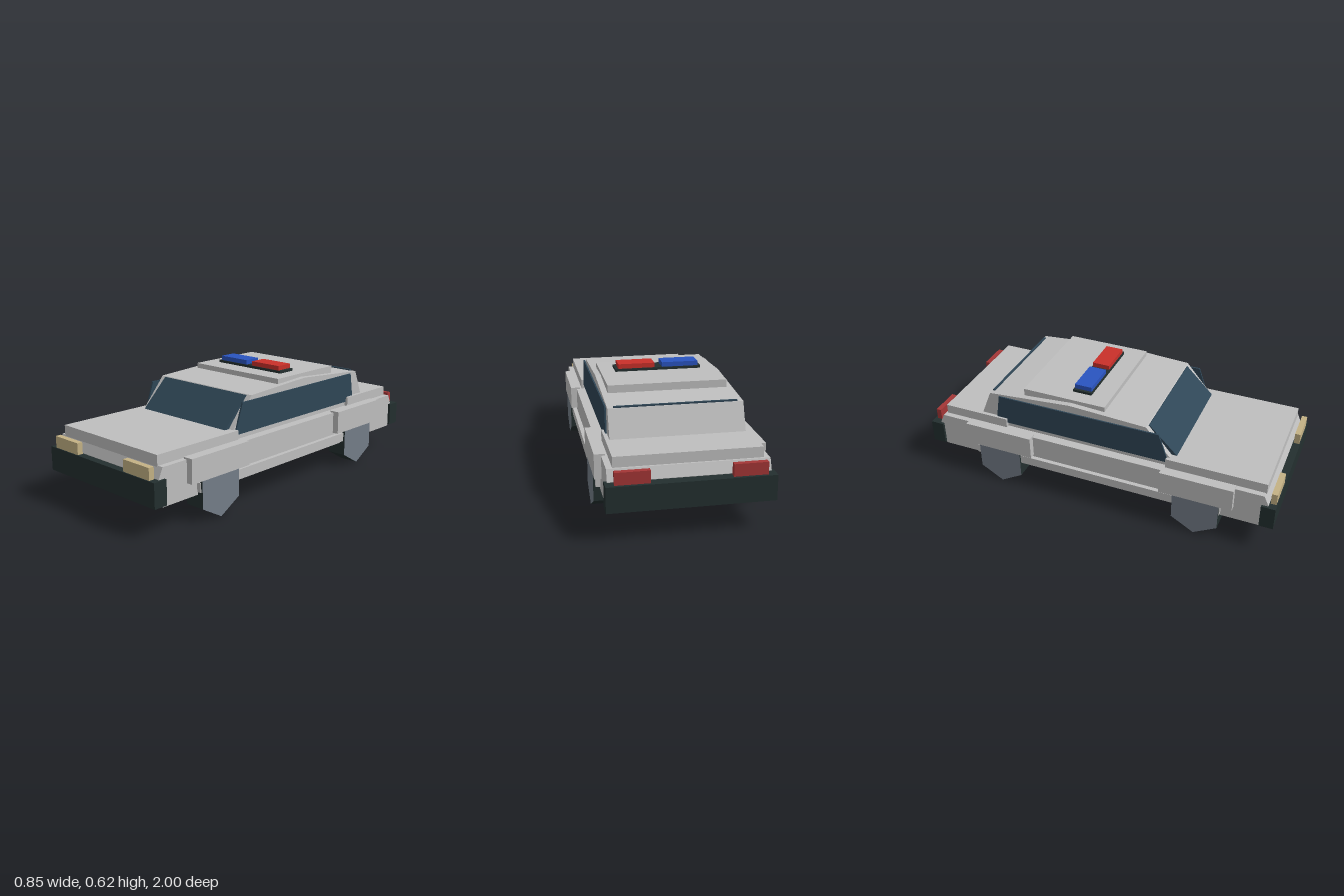
import * as THREE from 'three';

function mat(name, color) {
  const m = new THREE.MeshStandardMaterial({ color, flatShading: true });
  m.name = name;
  return m;
}

export function createModel() {
  const paint = mat('grey paint', 0xbfbfbf);
  const rubber = mat('dark rubber', 0x232f2f);
  const glass = mat('tinted glass', 0x2f4656);
  const hub = mat('hub steel', 0x747d88);
  const lamp = mat('headlight', 0xc4b285);
  const tail = mat('tail light', 0xa43636);
  const red = mat('red beacon', 0xc9302a);
  const blue = mat('blue beacon', 0x2a54c0);

  const car = new THREE.Group();
  car.name = 'patrolCar';

  const add = (name, geometry, material) => {
    const mesh = new THREE.Mesh(geometry, material);
    mesh.name = name;
    car.add(mesh);
    return mesh;
  };
  // Box given by its limits on each axis
  const box = (name, material, [x0, x1], [y0, y1], [z0, z1]) => {
    const g = new THREE.BoxGeometry(x1 - x0, y1 - y0, z1 - z0);
    g.translate((x0 + x1) / 2, (y0 + y1) / 2, (z0 + z1) / 2);
    return add(name, g, material);
  };
  // Side profile of (z, y) points, extruded across x
  const profile = (name, material, points, width, x = 0) => {
    const shape = new THREE.Shape(points.map(([z, y]) => new THREE.Vector2(z, y)));
    const g = new THREE.ExtrudeGeometry(shape, { depth: width, bevelEnabled: false });
    g.translate(0, 0, -width / 2).rotateY(-Math.PI / 2).translate(x, 0, 0);
    return add(name, g, material);
  };

  // Lower body, with sloped nose and tail
  profile('body', paint, [
    [0.94, 0.14], [0.96, 0.28], [0.935, 0.335], [-0.92, 0.335], [-0.945, 0.28], [-0.925, 0.14],
  ], 0.78);
  box('hood', paint, [-0.36, 0.36], [0.33, 0.388], [0.4, 0.94]);
  box('trunk', paint, [-0.36, 0.36], [0.33, 0.388], [-0.91, -0.53]);

  // Cabin shell and glass
  profile('cabin', paint, [
    [0.425, 0.33], [0.425, 0.38], [0.283, 0.545], [-0.15, 0.566], [-0.628, 0.527], [-0.687, 0.385], [-0.687, 0.33],
  ], 0.68);
  profile('windshield', glass, [
    [0.425, 0.375], [0.447, 0.388], [0.29, 0.543], [0.28, 0.535],
  ], 0.62);
  box('rearWindow', glass, [-0.31, 0.31], [0.5, 0.535], [-0.625, -0.613]);

  // Roof panel and light bar
  box('roofPanel', paint, [-0.31, 0.31], [0.545, 0.585], [-0.43, 0.04]);
  box('lightBarBase', rubber, [-0.233, 0.233], [0.585, 0.599], [-0.175, -0.068]);
  box('blueBeacon', blue, [-0.218, -0.022], [0.599, 0.624], [-0.17, -0.073]);
  box('redBeacon', red, [0.02, 0.216], [0.599, 0.624], [-0.17, -0.073]);

  // Bumpers
  box('frontBumper', rubber, [-0.404, 0.404], [0.15, 0.278], [0.925, 1]);
  box('rearBumper', rubber, [-0.404, 0.404], [0.15, 0.278], [-1, -0.925]);

  // Parts mirrored on both sides
  for (const s of [1, -1]) {
    const side = s > 0 ? 'left' : 'right';
    const span = (a, b) => (s > 0 ? [a, b] : [-b, -a]);

    profile(side + 'Window', glass, [
      [0.412, 0.36], [0.355, 0.522], [-0.57, 0.522], [-0.597, 0.36],
    ], 0.009, s * 0.3435);
    box(side + 'Skirt', paint, span(0.38, 0.413), [0.155, 0.205], [-0.7, 0.72]);
    box(side + 'Headlight', lamp, span(0.179, 0.364), [0.275, 0.34], [0.965, 0.995]);
    box(side + 'TailLight', tail, span(0.195, 0.362), [0.275, 0.34], [-0.985, -0.957]);

    // Fender and six-sided wheel at each axle
    for (const [end, z, z0, z1] of [['Front', 0.59, 0.39, 0.785], ['Rear', -0.553, -0.75, -0.355]]) {
      box(side + end + 'Fender', paint, span(0.37, 0.425), [0.217, 0.344], [z0, z1]);
      const g = new THREE.CylinderGeometry(0.145, 0.145, 0.11, 6);
      g.rotateY(Math.PI / 2).rotateZ(Math.PI / 2);
      const wheel = add(side + end + 'Wheel', g, [rubber, hub, hub]);
      wheel.position.set(s * 0.368, 0.145, z);
    }
  }
  return car;
}
